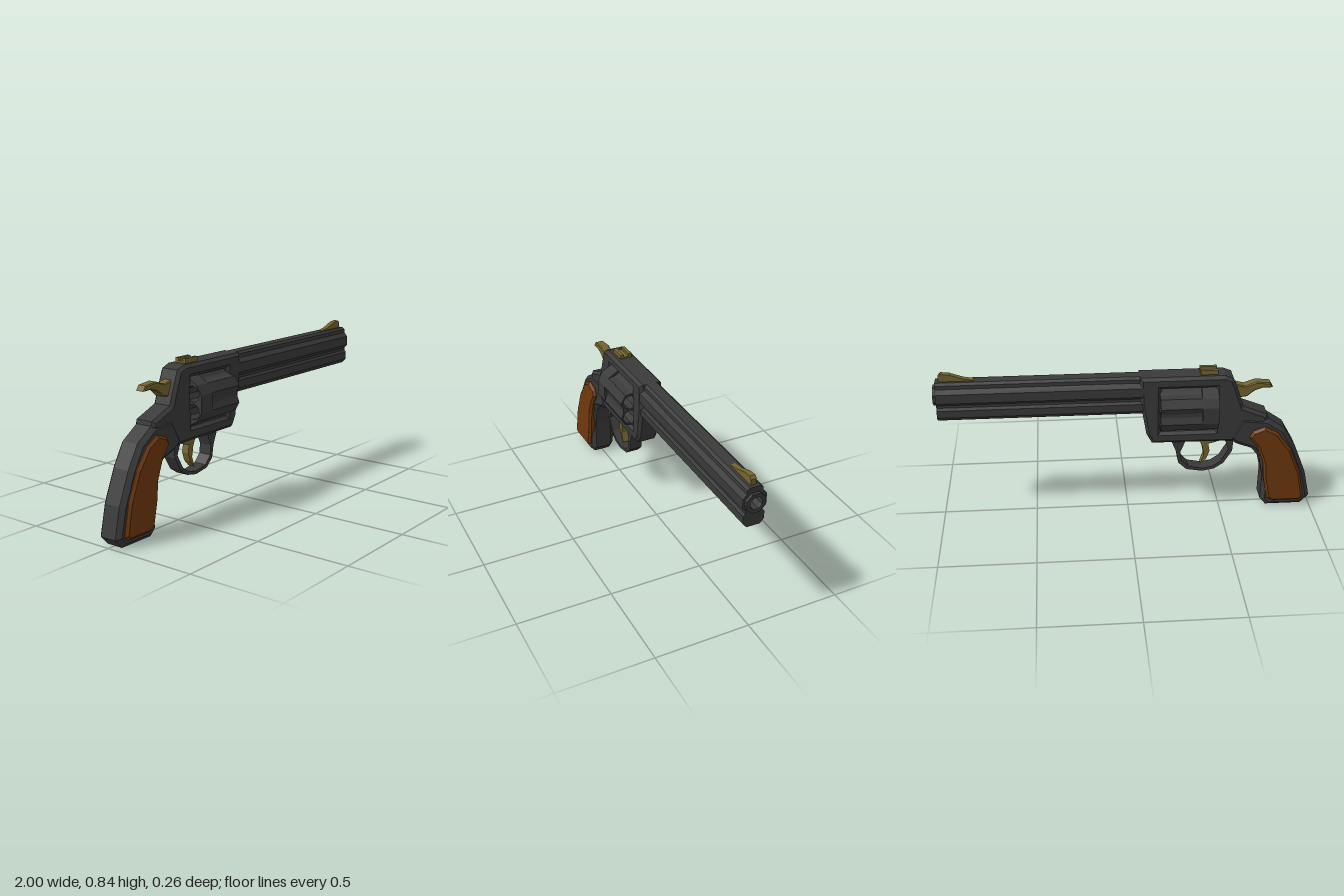
import * as THREE from 'three';

const steel = new THREE.MeshStandardMaterial({ color: 0x3a3a3a });
steel.name = 'dark steel';
const wood = new THREE.MeshStandardMaterial({ color: 0x6e380e });
wood.name = 'brown wood';
const brass = new THREE.MeshStandardMaterial({ color: 0x74642f });
brass.name = 'dull brass';

const toShape = (pts, holes = []) => {
  const s = new THREE.Shape(pts.map(p => new THREE.Vector2(...p)));
  holes.forEach(h => s.holes.push(new THREE.Path(h.map(p => new THREE.Vector2(...p)))));
  return s;
};

// Side profile extruded across the width, with chamfered edges
function plate(name, mat, pts, half, bevel = 0, holes = []) {
  const geo = new THREE.ExtrudeGeometry(toShape(pts, holes), {
    depth: 2 * (half - bevel), steps: 1, bevelEnabled: bevel > 0,
    bevelThickness: bevel, bevelSize: bevel, bevelOffset: -bevel, bevelSegments: 1,
  });
  geo.translate(0, 0, -(half - bevel));
  const mesh = new THREE.Mesh(geo, mat);
  mesh.name = name;
  return mesh;
}

// Cross-section (z, y) extruded lengthwise from x0 to x1
function bar(name, mat, pts, x0, x1, holes = []) {
  const geo = new THREE.ExtrudeGeometry(toShape(pts, holes), { depth: x1 - x0, bevelEnabled: false });
  geo.rotateY(Math.PI / 2).translate(x0, 0, 0);
  const mesh = new THREE.Mesh(geo, mat);
  mesh.name = name;
  return mesh;
}

const polar = (r, deg, cx, cy) => {
  const a = deg * Math.PI / 180;
  return [cx + r * Math.cos(a), cy + r * Math.sin(a)];
};
const octagon = (r, cx, cy, turn = 22.5) =>
  Array.from({ length: 8 }, (_, i) => polar(r, turn + i * 45, cx, cy));

export function createModel() {
  const model = new THREE.Group();
  model.name = 'revolver';

  // Frame with the drum window
  model.add(plate('frame', steel, [
    [-0.5, 0.803], [-0.06, 0.803], [-0.063, 0.66], [-0.095, 0.475], [-0.125, 0.42],
    [-0.56, 0.415], [-0.66, 0.44], [-0.74, 0.54], [-0.735, 0.567], [-0.605, 0.62],
    [-0.57, 0.72], [-0.545, 0.785],
  ], 0.063, 0.016, [[[-0.455, 0.485], [-0.17, 0.485], [-0.17, 0.738], [-0.455, 0.738]]]));

  // Barrel: top rib, round tube and lower lug in one section
  const side = [
    [0.028, 0.803], [0.042, 0.792], [0.042, 0.772], [0.062, 0.75], [0.062, 0.7],
    [0.045, 0.682], [0.045, 0.668], [0.055, 0.655], [0.055, 0.615], [0.035, 0.592],
  ];
  const section = [...side, ...side.map(([z, y]) => [-z, y]).reverse()];
  const bore = octagon(0.034, 0, 0.722);
  model.add(bar('barrel', steel, section, -0.08, 0.985, [bore]));
  model.add(bar('muzzleRing', steel, octagon(0.054, 0, 0.722), 0.975, 1, [bore]));

  // Drum: six chambers, plain at the rear and fluted ahead
  const drum = new THREE.Group();
  drum.name = 'drum';
  const cy = 0.612, plain = [], fluted = [], chambers = [];
  for (let i = 0; i < 6; i++) {
    const a = i * 60;
    const edges = [polar(0.1375, a - 19, 0, cy), polar(0.1375, a + 19, 0, cy)];
    plain.push(...edges);
    fluted.push(edges[0], polar(0.116, a - 5, 0, cy), polar(0.116, a + 5, 0, cy), edges[1]);
    chambers.push(octagon(0.041, ...polar(0.089, a + 30, 0, cy), a + 52.5));
  }
  drum.add(bar('drumRear', steel, plain, -0.466, -0.38, chambers));
  drum.add(bar('drumFront', steel, fluted, -0.38, -0.162, chambers));
  model.add(drum);

  // Grip frame and wooden panels on both sides
  model.add(plate('gripFrame', steel, [
    [-0.6, 0.56], [-0.74, 0.545], [-0.835, 0.48], [-0.9, 0.365], [-0.965, 0.205],
    [-1, 0.05], [-0.955, 0.002], [-0.76, 0.002], [-0.728, 0.04], [-0.73, 0.2],
    [-0.705, 0.31], [-0.66, 0.365], [-0.58, 0.395], [-0.53, 0.43],
  ], 0.068, 0.022));
  model.add(plate('gripPanels', wood, [
    [-0.725, 0.505], [-0.66, 0.48], [-0.642, 0.445], [-0.69, 0.38], [-0.725, 0.285],
    [-0.735, 0.18], [-0.76, 0.06], [-0.79, 0.04], [-0.94, 0.04], [-0.962, 0.06],
    [-0.93, 0.22], [-0.87, 0.365], [-0.795, 0.465],
  ], 0.085, 0.013));

  // Trigger guard loop
  model.add(plate('triggerGuard', steel, [
    [-0.565, 0.43], [-0.56, 0.345], [-0.515, 0.27], [-0.465, 0.237], [-0.4, 0.225],
    [-0.315, 0.24], [-0.27, 0.283], [-0.258, 0.35], [-0.225, 0.43],
  ], 0.036, 0, [[
    [-0.515, 0.42], [-0.54, 0.355], [-0.5, 0.283], [-0.455, 0.252], [-0.4, 0.242],
    [-0.325, 0.257], [-0.285, 0.3], [-0.28, 0.35], [-0.308, 0.42],
  ]]));

  // Trigger
  model.add(plate('trigger', brass, [
    [-0.475, 0.43], [-0.375, 0.43], [-0.4, 0.37], [-0.41, 0.315], [-0.392, 0.26],
    [-0.425, 0.295], [-0.44, 0.34], [-0.432, 0.385], [-0.475, 0.395],
  ], 0.02));

  // Hammer with thumb spur
  model.add(plate('hammer', brass, [
    [-0.76, 0.712], [-0.745, 0.738], [-0.67, 0.746], [-0.61, 0.725], [-0.565, 0.737],
    [-0.53, 0.7], [-0.58, 0.6], [-0.605, 0.62], [-0.582, 0.66], [-0.625, 0.665],
    [-0.665, 0.698], [-0.71, 0.713],
  ], 0.026, 0.005));

  // Sights
  model.add(plate('frontSight', brass, [
    [0.785, 0.8], [0.785, 0.806], [0.84, 0.815], [0.91, 0.84], [0.955, 0.845],
    [0.967, 0.832], [0.967, 0.8],
  ], 0.014));
  const rearSight = new THREE.Group();
  rearSight.name = 'rearSight';
  for (const [z, width, top] of [[-0.0235, 0.019, 0.827], [0, 0.028, 0.813], [0.0235, 0.019, 0.827]]) {
    const block = new THREE.Mesh(new THREE.BoxGeometry(0.09, top - 0.795, width), brass);
    block.name = 'sightBlock';
    block.position.set(-0.42, (top + 0.795) / 2, z);
    rearSight.add(block);
  }
  model.add(rearSight);

  return model;
}
